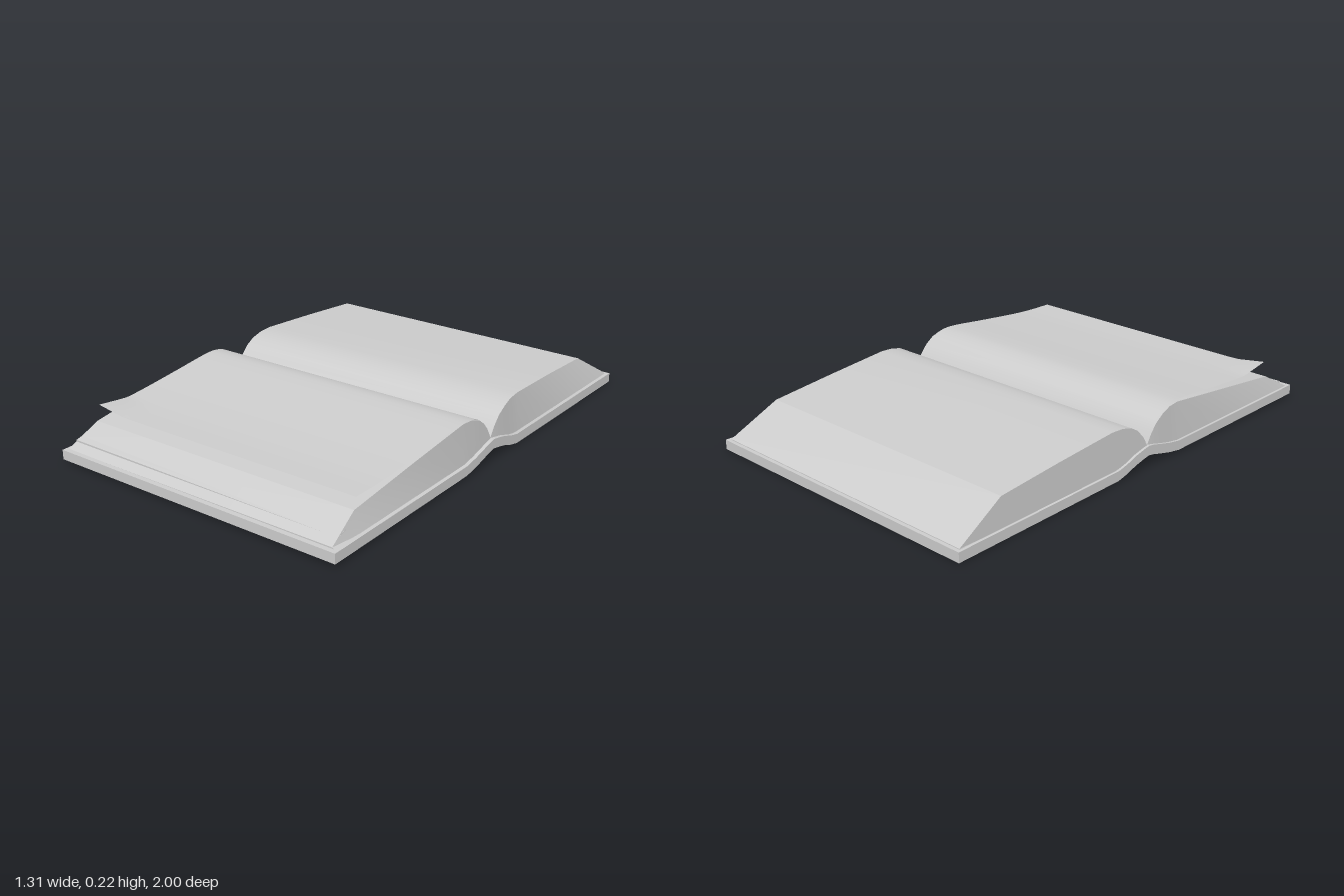
import * as THREE from 'three';
import { toCreasedNormals } from 'three/addons/utils/BufferGeometryUtils.js';

const material = new THREE.MeshStandardMaterial({ color: 0xcccccc, side: THREE.DoubleSide });

// Solid through four-cornered sections, listed from back to front
function loft(sections, crease) {
  const pos = [], idx = [];
  for (const s of sections) {
    pos.push(s.bl, s.y0, s.z, s.br, s.y0, s.z, s.tr, s.yr, s.z, s.tl, s.yl, s.z);
  }
  for (let i = 0; i < sections.length - 1; i++) {
    for (let k = 0; k < 4; k++) {
      const a = i * 4 + k, b = i * 4 + (k + 1) % 4;
      idx.push(a, b, b + 4, a, b + 4, a + 4);
    }
  }
  const e = (sections.length - 1) * 4;
  idx.push(0, 2, 1, 0, 3, 2, e, e + 1, e + 2, e, e + 2, e + 3);
  const g = new THREE.BufferGeometry();
  g.setAttribute('position', new THREE.Float32BufferAttribute(pos, 3));
  g.setIndex(idx);
  return toCreasedNormals(g, crease);
}

// Piecewise linear lookup in a list of [key, value] pairs
function lookup(list, z) {
  for (let i = 1; i < list.length; i++) {
    const [z0, v0] = list[i - 1], [z1, v1] = list[i];
    if (z <= z1) return THREE.MathUtils.lerp(v0, v1, (z - z0) / (z1 - z0));
  }
  return list[list.length - 1][1];
}

// Upper face of the cover, on which the pages rest
const coverTop = [
  [-1, 0.04], [-0.18, 0.046], [-0.13, 0.057], [-0.08, 0.074], [-0.03, 0.085], [0, 0.09],
  [0.03, 0.085], [0.08, 0.072], [0.13, 0.06], [0.19, 0.05], [0.995, 0.053],
];
// Page outlines [z, y, left inset, right inset]
const backPages = [
  [-0.985, 0.043, 0, 0], [-0.79, 0.163, 0, 0.04], [-0.5, 0.187, 0, 0.025], [-0.21, 0.207, 0, 0.008],
  [-0.15, 0.203, 0, 0.005], [-0.1, 0.19, 0, 0], [-0.06, 0.167, 0, 0], [-0.025, 0.13, 0, 0], [0, 0.091, 0, 0],
];
const frontPages = [
  [0, 0.091, 0, 0], [0.025, 0.134, 0, 0], [0.055, 0.168, 0, 0], [0.095, 0.195, 0, 0],
  [0.14, 0.208, 0.004, 0.004], [0.19, 0.212, 0.005, 0.006], [0.5, 0.173, 0.012, 0.015],
  [0.84, 0.13, 0.02, 0.022], [0.975, 0.055, 0.005, 0.01],
];

export function createModel() {
  const group = new THREE.Group();
  const add = (name, geometry) => {
    const m = new THREE.Mesh(geometry, material);
    m.name = name;
    group.add(m);
  };

  // Cover, arched under the spine
  add('cover', loft(coverTop.map(([z, y]) => ({
    z, y0: y - 0.04, yl: y, yr: y, bl: -0.655, br: 0.655, tl: -0.655, tr: 0.655,
  })), 0.5));

  // Two page blocks
  const block = (profile, tilt) => loft(profile.map(([z, y, l, r]) => ({
    z, y0: lookup(coverTop, z) - 0.002, yl: y - tilt, yr: y + tilt,
    bl: -0.645, br: 0.64, tl: -0.643 + l, tr: 0.638 - r,
  })), 0.36);
  add('backPageBlock', block(backPages, 0));
  add('frontPageBlock', block(frontPages, 0.003));

  // Loose sheet over the front block, with one lifted corner
  const curve = new THREE.CatmullRomCurve3([
    [0.06, 0.173], [0.1, 0.199], [0.14, 0.212], [0.19, 0.217], [0.4, 0.199], [0.58, 0.183], [0.7, 0.176], [0.83, 0.175],
  ].map(([z, y]) => new THREE.Vector3(0, y, z)));
  const sheet = new THREE.PlaneGeometry(1, 1, 20, 40);
  const p = sheet.attributes.position;
  for (let i = 0; i < p.count; i++) {
    const u = p.getX(i), q = curve.getPoint(p.getY(i) + 0.5);
    const x = u * (1.27 - 0.045 * q.z);
    const lift = Math.max(0, (-0.48 - x) / 0.14) * Math.max(0, (q.z - 0.68) / 0.15);
    p.setXYZ(i, x, q.y + 0.006 * u + 0.022 * lift, q.z);
  }
  sheet.computeVertexNormals();
  add('looseSheet', sheet);

  // Sheet edge standing out of the front slope
  add('sheetEdge', loft([
    { z: 0.9, y0: 0.085, yl: 0.09, yr: 0.09, bl: -0.635, br: 0.625, tl: -0.635, tr: 0.625 },
    { z: 0.94, y0: 0.073, yl: 0.08, yr: 0.077, bl: -0.635, br: 0.625, tl: -0.635, tr: 0.625 },
  ], 0.5));

  return group;
}
